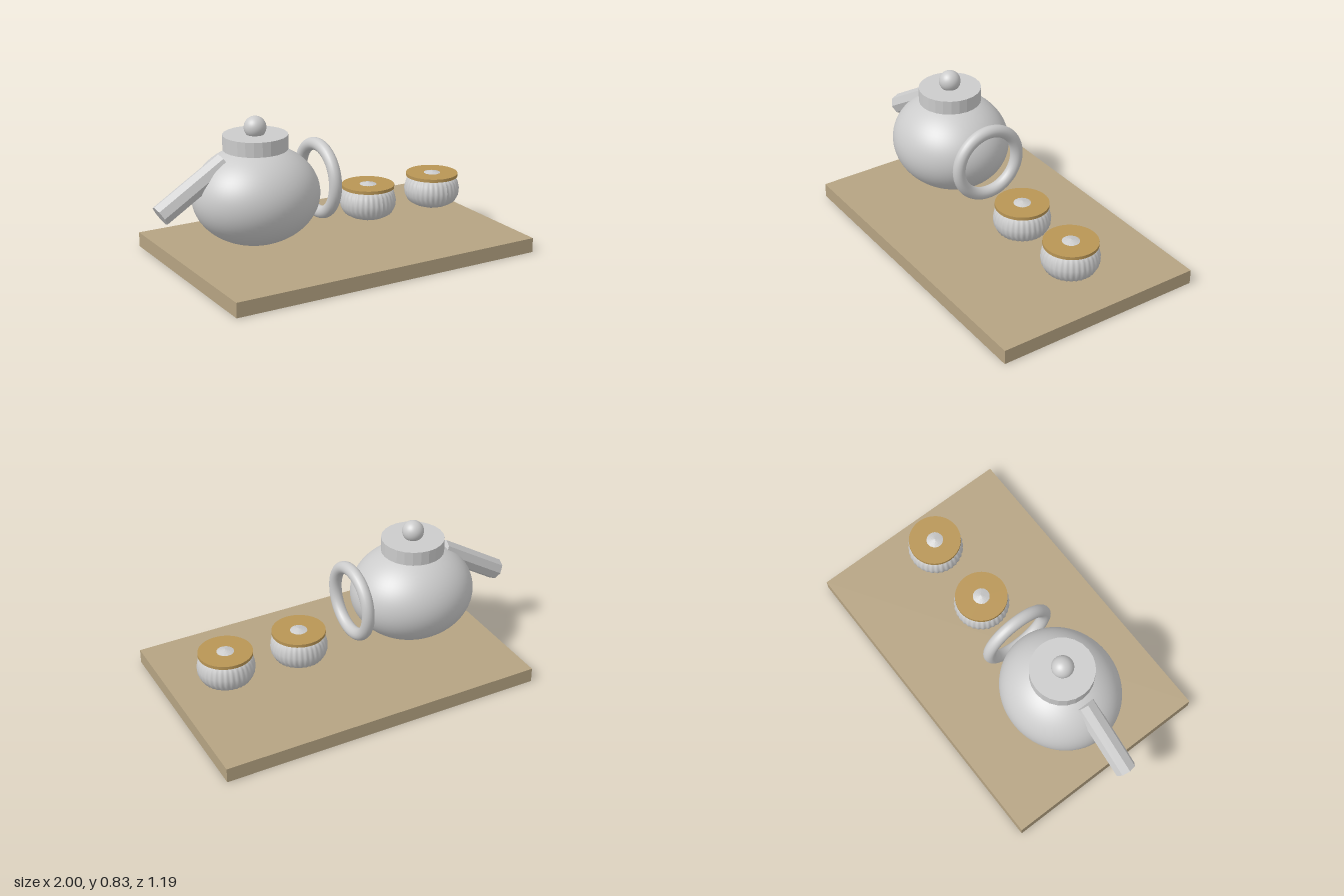
import * as THREE from 'three';

const grey = new THREE.MeshStandardMaterial({ color: 0xcccccc });
const greyFlat = new THREE.MeshStandardMaterial({ color: 0xcccccc, flatShading: true });
const wood = new THREE.MeshStandardMaterial({ color: 0xb5a382 });
const gold = new THREE.MeshStandardMaterial({ color: 0xb89555 });

function add(parent, name, geometry, material, x = 0, y = 0, z = 0) {
  const mesh = new THREE.Mesh(geometry, material);
  mesh.name = name;
  mesh.position.set(x, y, z);
  parent.add(mesh);
  return mesh;
}

// Round bowl with pointed ends and shallow vertical flutes
function flutedBowl() {
  const profile = [[0, 0.132], [0.1, 0.168], [0.133, 0.188], [0.152, 0.225], [0.155, 0.26],
    [0.146, 0.3], [0.125, 0.328], [0, 0.36]].map(([r, y]) => new THREE.Vector2(r, y));
  const geometry = new THREE.LatheGeometry(profile, 160);
  const p = geometry.attributes.position;
  for (let i = 0; i < p.count; i++) {
    const x = p.getX(i), z = p.getZ(i);
    const scale = 1 + 0.015 * Math.cos(32 * Math.atan2(z, x));
    p.setX(i, x * scale);
    p.setZ(i, z * scale);
  }
  geometry.computeVertexNormals();
  return geometry;
}

function teapot() {
  const pot = new THREE.Group();
  pot.name = 'teapot';
  pot.position.x = -0.41;
  add(pot, 'body', new THREE.SphereGeometry(1, 64, 40), grey, 0, 0.405).scale.set(0.35, 0.27, 0.32);
  add(pot, 'lid', new THREE.CylinderGeometry(0.174, 0.174, 0.08, 24), greyFlat, 0, 0.695);
  add(pot, 'knob', new THREE.SphereGeometry(0.06, 32, 24), grey, 0, 0.773);

  // Ring handle standing across the side of the body
  const handle = add(pot, 'handle', new THREE.TorusGeometry(0.189, 0.035, 20, 64), grey, 0.38, 0.435);
  handle.rotation.y = Math.PI / 2;

  // Straight spout, sloping down and away from the body
  const inner = new THREE.Vector3(-0.187, 0.605, 0);
  const outer = new THREE.Vector3(-0.557, 0.375, 0);
  const axis = inner.clone().sub(outer);
  const spout = add(pot, 'spout', new THREE.CylinderGeometry(0.06, 0.06, axis.length(), 8), greyFlat);
  spout.position.copy(inner).add(outer).multiplyScalar(0.5);
  spout.quaternion.setFromUnitVectors(new THREE.Vector3(0, 1, 0), axis.normalize());
  return pot;
}

export function createModel() {
  const model = new THREE.Group();
  model.name = 'teaSet';
  add(model, 'tray', new THREE.BoxGeometry(1.84, 0.082, 1.194), wood, 0.08, 0.041);
  model.add(teapot());

  // Two cups, each capped by a gold disc that the bowl's tip pokes through
  const bowl = flutedBowl();
  const disc = new THREE.CylinderGeometry(0.147, 0.147, 0.018, 48);
  for (const x of [0.295, 0.728]) {
    const cup = new THREE.Group();
    cup.name = 'cup';
    cup.position.x = x;
    add(cup, 'cupBowl', bowl, grey);
    add(cup, 'cupRim', disc, gold, 0, 0.339);
    model.add(cup);
  }
  return model;
}
